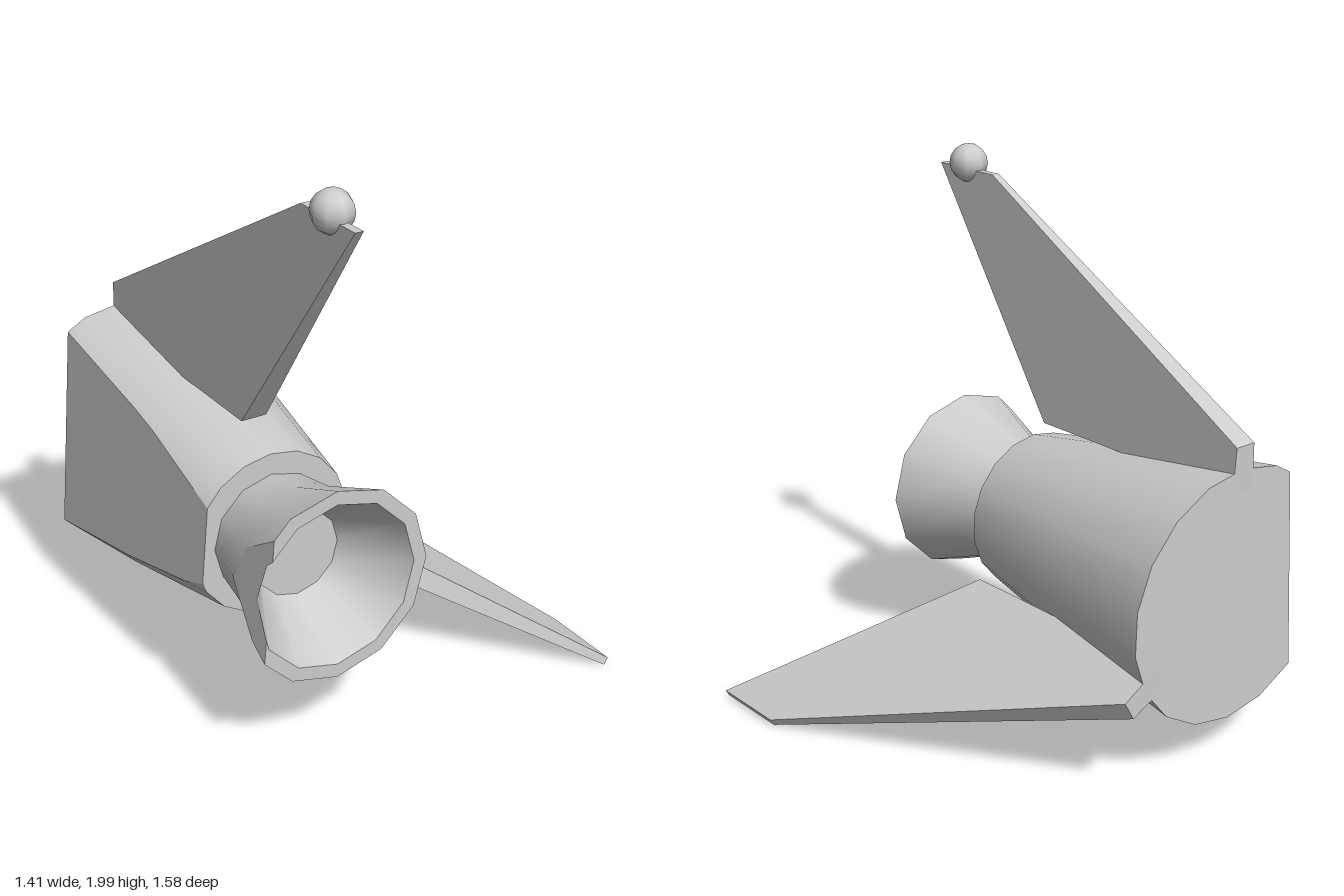
import * as THREE from 'three';

const grey = new THREE.MeshStandardMaterial({ color: 0xcccccc });
grey.name = 'plain grey';

// slightly tilted plane that slices off the right flank, and the tilted rear face
const cutX = (y, z) => -0.2665 + 0.096 * y + 0.01 * z;
const rearZ = (x, y) => -0.775 + 0.02 * x - 0.021 * y;

function tiltRear(geo) {
  const p = geo.attributes.position;
  for (let i = 0; i < p.count; i++) {
    if (p.getZ(i) < -0.7) p.setZ(i, rearZ(p.getX(i), p.getY(i)));
  }
  return geo;
}

// surface of revolution along z, from [radius, z] pairs
function turned(profile, sides) {
  const geo = new THREE.LatheGeometry(profile.map(([r, z]) => new THREE.Vector2(r, z)), sides);
  return tiltRear(geo.rotateX(Math.PI / 2));
}

// keep the part left of the cutting plane; also return the points on the cut
function clip(source) {
  const geo = source.toNonIndexed();
  const { position: P, normal: N } = geo.attributes;
  const pos = [], nor = [], cut = [];
  for (let i = 0; i < P.count; i += 3) {
    const poly = [];
    for (let k = 0; k < 3; k++) {
      const get = (j) => {
        const p = new THREE.Vector3().fromBufferAttribute(P, j);
        return { p, n: new THREE.Vector3().fromBufferAttribute(N, j), d: p.x - cutX(p.y, p.z) };
      };
      const a = get(i + k), b = get(i + (k + 1) % 3);
      if (a.d >= 0) poly.push(a);
      if ((a.d >= 0) !== (b.d >= 0)) {
        const t = a.d / (a.d - b.d);
        const c = { p: a.p.clone().lerp(b.p, t), n: a.n.clone().lerp(b.n, t).normalize() };
        poly.push(c);
        if (!cut.some((q) => q.distanceTo(c.p) < 1e-4)) cut.push(c.p);
      }
    }
    for (let k = 1; k + 1 < poly.length; k++) {
      for (const v of [poly[0], poly[k], poly[k + 1]]) {
        pos.push(...v.p.toArray());
        nor.push(...v.n.toArray());
      }
    }
  }
  const out = new THREE.BufferGeometry();
  out.setAttribute('position', new THREE.Float32BufferAttribute(pos, 3));
  out.setAttribute('normal', new THREE.Float32BufferAttribute(nor, 3));
  return { geo: out, cut };
}

// flat face filling the cut between two ordered borders
function cutFace(borderA, borderB) {
  const outline = [...borderA, ...borderB.reverse()].map((p) => new THREE.Vector2(p.z, p.y));
  const geo = new THREE.ShapeGeometry(new THREE.Shape(outline));
  const p = geo.attributes.position;
  for (let i = 0; i < p.count; i++) {
    const z = p.getX(i), y = p.getY(i);
    p.setXYZ(i, cutX(y, z), y, z);
  }
  geo.computeVertexNormals();
  return geo;
}

// tapered swept fin, pointing up before it is turned about the axis
function finGeometry(angle) {
  const outline = [[0.79, 1.26], [0.49, 1.26], [-0.78, 0.56], [-0.78, 0.39], [0.16, 0.39]];
  const shape = new THREE.Shape(outline.map(([z, r]) => new THREE.Vector2(-z, r)));
  const geo = new THREE.ExtrudeGeometry(shape, { depth: 2, bevelEnabled: false });
  geo.translate(0, 0, -1).rotateY(Math.PI / 2);
  const p = geo.attributes.position;
  for (let i = 0; i < p.count; i++) {
    p.setX(i, p.getX(i) * (0.048 - 0.033 * (p.getY(i) - 0.39) / 0.87));
  }
  geo.rotateZ(-angle);
  tiltRear(geo);
  geo.computeVertexNormals();
  return geo;
}

export function createModel() {
  const model = new THREE.Group();
  model.name = 'rocketFragment';
  const axis = new THREE.Group();
  axis.name = 'rocketAxis';
  axis.position.set(-0.4, 0.65, 0);
  model.add(axis);

  const add = (name, geo) => {
    const mesh = new THREE.Mesh(geo, grey);
    mesh.name = name;
    axis.add(mesh);
    return mesh;
  };
  const addTurned = (name, profile, sides) => {
    const { geo, cut } = clip(turned(profile, sides));
    add(name, geo);
    return cut;
  };

  // body
  addTurned('bodyRearFace', [[0, -0.775], [0.476, -0.775]], 18);
  const bodyCut = addTurned('body', [[0.476, -0.775], [0.4, -0.26], [0.302, 0.27]], 18);
  addTurned('bodyFrontRing', [[0.302, 0.27], [0.2, 0.27]], 18);
  const byZ = bodyCut.sort((a, b) => a.z - b.z);
  add('bodyCutFace', cutFace(byZ.filter((p) => p.y < 0), byZ.filter((p) => p.y >= 0)));

  // nozzle
  const outerCut = addTurned('nozzleOutside', [[0.225, 0.27], [0.25, 0.43], [0.352, 0.68]], 12);
  addTurned('nozzleRim', [[0.352, 0.68], [0.302, 0.68]], 12);
  const innerCut = addTurned('nozzleInside', [[0.302, 0.68], [0.16, 0.43]], 12);
  addTurned('nozzleFloor', [[0.16, 0.43], [0, 0.43]], 12);
  const byY = (a, b) => a.y - b.y;
  add('nozzleCutFace', cutFace(outerCut.sort(byY), innerCut.sort(byY)));

  // two remaining fins and the ball on the upper tip
  add('upperFin', finGeometry(0));
  add('lowerLeftFin', finGeometry(Math.PI * 2 / 3));
  add('finTipBall', new THREE.SphereGeometry(0.072, 8, 8)).position.set(0, 1.28, 0.645);

  return model;
}
